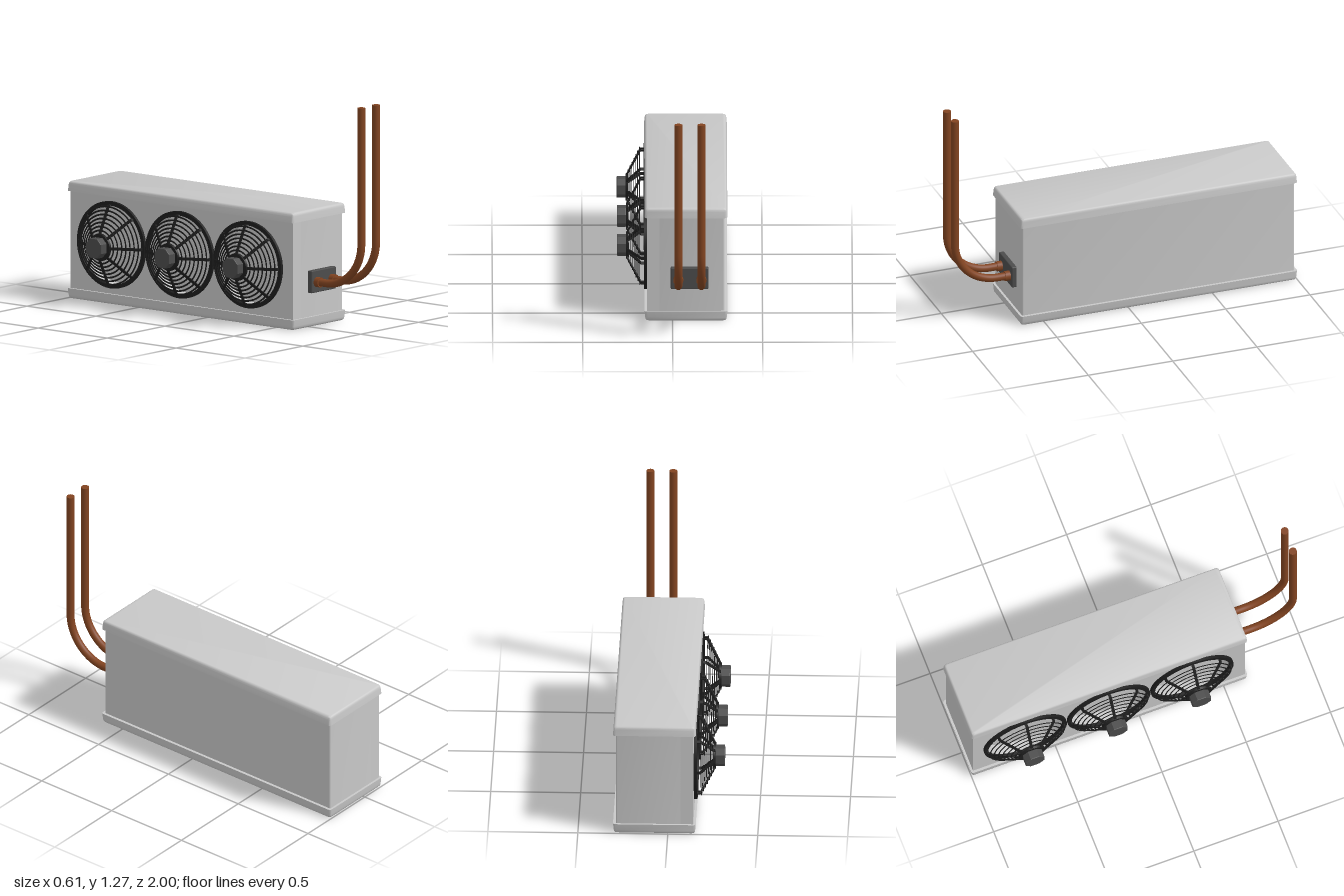
import * as THREE from 'three';
import { toCreasedNormals } from 'three/addons/utils/BufferGeometryUtils.js';
import { RoundedBoxGeometry } from 'three/addons/geometries/RoundedBoxGeometry.js';

const material = (name, color) => {
  const m = new THREE.MeshStandardMaterial({ color });
  m.name = name;
  return m;
};
const add = (parent, name, geometry, mat, x = 0, y = 0, z = 0) => {
  const mesh = new THREE.Mesh(geometry, mat);
  mesh.name = name;
  mesh.position.set(x, y, z);
  parent.add(mesh);
  return mesh;
};

// Rounded rectangle outline in x and z
function outline(w, d, r) {
  const pts = [];
  [[1, 1], [-1, 1], [-1, -1], [1, -1]].forEach(([sx, sz], k) => {
    for (let i = 0; i <= 4; i++) {
      const a = (k + i / 4) * Math.PI / 2;
      pts.push([sx * (w / 2 - r) + r * Math.cos(a), sz * (d / 2 - r) + r * Math.sin(a)]);
    }
  });
  return pts;
}

// Closed loft of rounded rectangles, profile rows are [inset, y] from bottom to top
function loft(w, d, r, profile) {
  const pos = [], index = [];
  const n = 20;
  for (const [inset, y] of profile) {
    for (const [x, z] of outline(w - 2 * inset, d - 2 * inset, r)) pos.push(x, y, z);
  }
  for (let j = 0; j < profile.length - 1; j++) {
    for (let i = 0; i < n; i++) {
      const a = j * n + i, b = j * n + (i + 1) % n;
      index.push(a, a + n, b, b, a + n, b + n);
    }
  }
  const last = (profile.length - 1) * n;
  for (let i = 1; i < n - 1; i++) {
    index.push(0, i, i + 1, last, last + i + 1, last + i);
  }
  const g = new THREE.BufferGeometry();
  g.setAttribute('position', new THREE.Float32BufferAttribute(pos, 3));
  g.setIndex(index);
  return toCreasedNormals(g, 0.6);
}

const polygon = pts => new THREE.Shape(pts.map(p => new THREE.Vector2(...p)));
const circle = (x, y, r) => new THREE.Path().absarc(x, y, r, 0, Math.PI * 2, true);

// Flat wire guard with a motor, axis along +z
function createFan(black, darkGrey) {
  const fan = new THREE.Group();
  fan.name = 'fan';

  const rimShape = new THREE.Shape().absarc(0, 0, 0.245, 0, Math.PI * 2, false);
  rimShape.holes.push(circle(0, 0, 0.222));
  const rim = new THREE.ExtrudeGeometry(rimShape, { depth: 0.018, bevelEnabled: false, curveSegments: 48 });
  add(fan, 'fanRim', toCreasedNormals(rim, 0.6), black);

  // Bent ribs, wide and thin
  const rib = new THREE.ExtrudeGeometry(polygon([
    [0.23, 0], [0.23, 0.036], [0.218, 0.044], [0.072, 0.117], [0.04, 0.117],
    [0.04, 0.111], [0.07, 0.111], [0.215, 0.038], [0.224, 0.033], [0.224, 0],
  ]), { depth: 0.016, bevelEnabled: false });
  rib.translate(0, 0, -0.008).rotateX(Math.PI / 2);
  for (let i = 0; i < 8; i++) {
    add(fan, 'guardRib', rib, black).rotation.z = i * Math.PI / 4;
  }

  // Concentric rings following the ribs
  for (let i = 0; i < 7; i++) {
    const t = i / 7;
    const ring = new THREE.TorusGeometry(0.22 - 0.148 * t, 0.005, 6, 48);
    ring.scale(1, 1, 0.4);
    add(fan, 'guardRing', ring, black, 0, 0, 0.041 + 0.074 * t);
  }

  const disc = new THREE.CylinderGeometry(0.075, 0.078, 0.012, 32).rotateX(Math.PI / 2);
  add(fan, 'motorMount', disc, black, 0, 0, 0.112);

  // Eight-sided motor housing
  const s = 0.051, c = 0.024;
  const motor = new THREE.ExtrudeGeometry(polygon([
    [s, -c], [s, c], [c, s], [-c, s], [-s, c], [-s, -c], [-c, -s], [c, -s],
  ]), { depth: 0.045, bevelSize: 0.004, bevelThickness: 0.004, bevelSegments: 2 });
  add(fan, 'motorHousing', motor, darkGrey, 0, 0, 0.119);
  return fan;
}

export function createModel() {
  const model = new THREE.Group();
  model.name = 'coolingUnit';
  const lightGrey = material('light grey casing', 0xc8c8c8);
  const darkGrey = material('dark grey fittings', 0x4c4c4c);
  const black = material('black guard', 0x1d1d1d);
  const copper = material('copper pipe', 0x824421);

  // Casing, with a left-hand fan wall pierced by three openings
  const zMid = -0.18, fanY = 0.335, fanZ = [-0.68, -0.185, 0.31];
  const casing = loft(0.37, 1.614, 0.008, [[0, 0.04], [0, 0.62]]);
  add(model, 'casing', casing, lightGrey, 0.104, 0, zMid);
  const wall = polygon([[-0.987, 0.04], [0.627, 0.04], [0.627, 0.62], [-0.987, 0.62]]);
  fanZ.forEach(z => wall.holes.push(circle(z, fanY, 0.224)));
  const wallGeometry = new THREE.ExtrudeGeometry(wall, { depth: 0.07, bevelEnabled: false, curveSegments: 32 });
  wallGeometry.rotateY(-Math.PI / 2);
  add(model, 'fanWall', toCreasedNormals(wallGeometry, 0.6), lightGrey, -0.071);

  // Flared lids at the top and bottom
  const topLid = loft(0.46, 1.64, 0.014, [
    [0, 0.605], [0.003, 0.64], [0.005, 0.651], [0.009, 0.657], [0.015, 0.66],
  ]);
  add(model, 'topLid', topLid, lightGrey, 0.075, 0, zMid);
  const baseTray = loft(0.46, 1.64, 0.014, [
    [0.015, 0], [0.009, 0.003], [0.005, 0.009], [0.003, 0.02], [0, 0.057],
  ]);
  add(model, 'baseTray', baseTray, lightGrey, 0.075, 0, zMid);

  // Fans on the side
  for (const z of fanZ) {
    const fan = createFan(black, darkGrey);
    fan.position.set(-0.14, fanY, z);
    fan.rotation.y = -Math.PI / 2;
    model.add(fan);
  }

  // Pipe connection plate
  add(model, 'pipePlate', new RoundedBoxGeometry(0.21, 0.126, 0.032, 2, 0.006), darkGrey, 0.095, 0.255, 0.639);

  // Two pipes turning from the plate up to open height
  const v = (y, z) => new THREE.Vector3(0, y, z);
  const path = new THREE.CurvePath();
  path.add(new THREE.LineCurve3(v(0.252, 0.64), v(0.252, 0.73)));
  path.add(new THREE.CubicBezierCurve3(v(0.252, 0.73), v(0.252, 0.867), v(0.363, 0.978), v(0.5, 0.978)));
  path.add(new THREE.LineCurve3(v(0.5, 0.978), v(1.27, 0.978)));
  const tube = new THREE.TubeGeometry(path, 80, 0.022, 20);
  const end = new THREE.CircleGeometry(0.022, 20).rotateX(-Math.PI / 2);
  const collar = new THREE.CylinderGeometry(0.028, 0.028, 0.035, 24).rotateX(Math.PI / 2);
  for (const x of [0.032, 0.16]) {
    add(model, 'pipe', tube, copper, x);
    add(model, 'pipeEnd', end, copper, x, 1.27, 0.978);
    add(model, 'pipeCollar', collar, copper, x, 0.252, 0.667);
  }
  return model;
}
